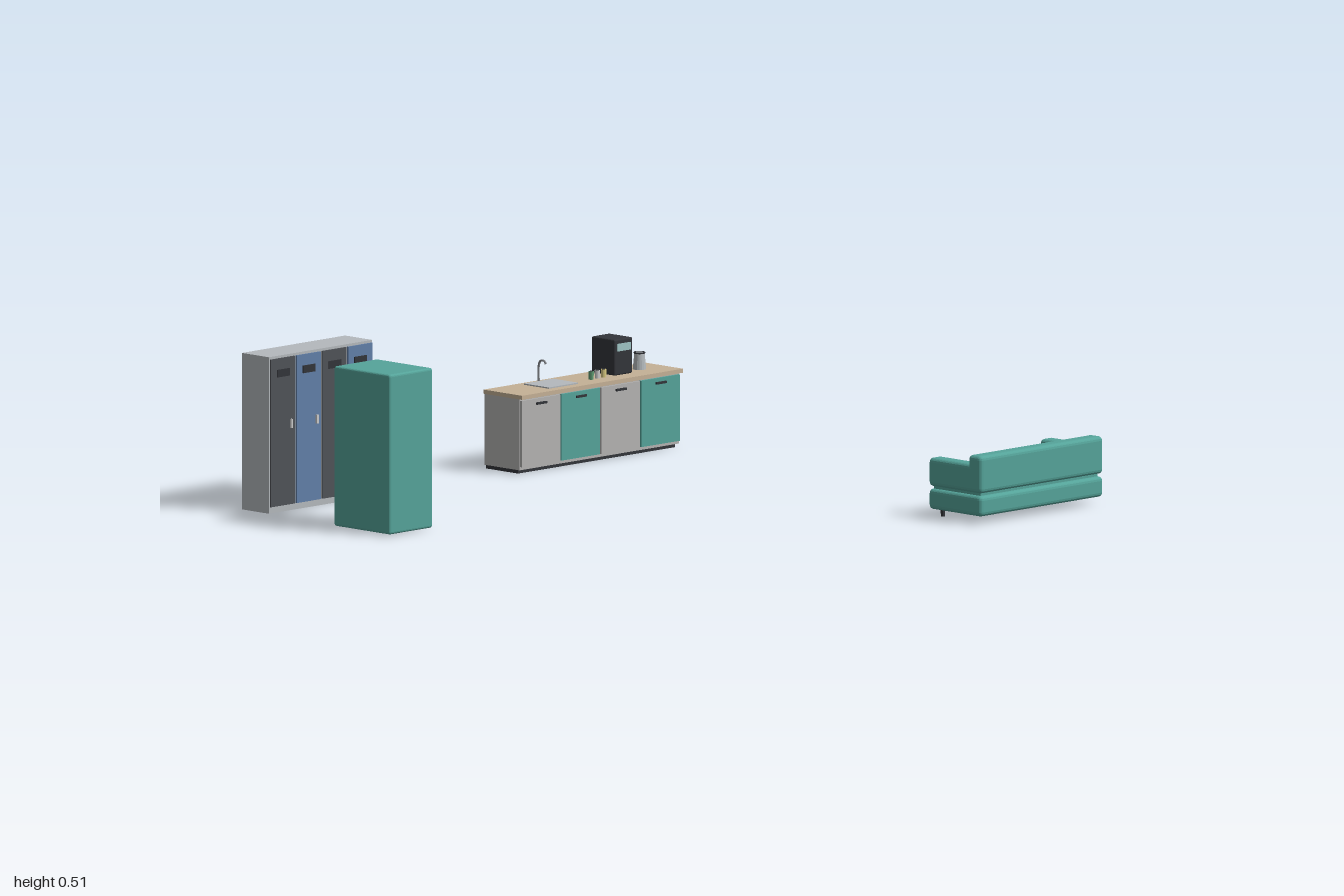
import * as THREE from 'three';
import { RoundedBoxGeometry } from 'three/addons/geometries/RoundedBoxGeometry.js';

const mats = {};
function mat(color) {
  if (!mats[color]) {
    mats[color] = new THREE.MeshStandardMaterial({ flatShading: true });
    mats[color].color.set(color);
  }
  return mats[color];
}
const TEAL = 0x55a49a, DARK = 0x33353a, GREY = 0xb4b3b2, METAL = 0xb4b9bd, BLUE = 0x627fa8;

function add(parent, name, geometry, color, x = 0, y = 0, z = 0) {
  const mesh = new THREE.Mesh(geometry, mat(color));
  mesh.name = name;
  mesh.position.set(x, y, z);
  parent.add(mesh);
  return mesh;
}

// Box given by its extents on each axis; a radius rounds the edges
function box(parent, name, color, [x0, x1], [y0, y1], [z0, z1], radius = 0) {
  const w = x1 - x0, h = y1 - y0, d = z1 - z0;
  const geometry = radius ? new RoundedBoxGeometry(w, h, d, 2, radius) : new THREE.BoxGeometry(w, h, d);
  return add(parent, name, geometry, color, (x0 + x1) / 2, (y0 + y1) / 2, (z0 + z1) / 2);
}

function group(parent, name) {
  const g = new THREE.Group();
  g.name = name;
  parent.add(g);
  return g;
}

function buildLockers(root) {
  const g = group(root, 'lockers');
  box(g, 'lockerBody', METAL, [-0.96, -0.5], [0, 0.495], [-0.925, -0.807]);
  for (let i = 0; i < 4; i++) {
    const x = -0.96 + i * 0.115;
    box(g, 'lockerDoor', i % 2 ? BLUE : 0x505358, [x + 0.004, x + 0.111], [0.02, 0.487], [-0.808, -0.802]);
    box(g, 'lockerVent', DARK, [x + 0.03, x + 0.085], [0.428, 0.452], [-0.803, -0.799]);
    box(g, 'lockerHandle', 0xcccccc, [x + 0.088, x + 0.095], [0.262, 0.29], [-0.803, -0.795]);
  }
}

function buildVendingMachine(root) {
  const g = group(root, 'vendingMachine');
  box(g, 'vendingBody', TEAL, [-1, -0.807], [0.004, 0.51], [-0.485, -0.24], 0.008);
  box(g, 'displayWindow', 0x55585f, [-0.81, -0.804], [0.129, 0.472], [-0.414, -0.257]);
  [0xa9c0de, 0x5f9c74, 0xe0cf85, 0xca7874].forEach((color, i) => {
    const y = 0.416 - i * 0.0793;
    box(g, 'productRow', color, [-0.806, -0.802], [y - 0.02, y + 0.02], [-0.406, -0.262]);
  });
  box(g, 'keypad', DARK, [-0.81, -0.802], [0.272, 0.438], [-0.47, -0.42]);
  for (const y of [0.396, 0.369, 0.342]) {
    box(g, 'keypadButton', 0xcccccc, [-0.804, -0.8], [y - 0.006, y + 0.006], [-0.459, -0.431]);
  }
  box(g, 'dispenserSlot', DARK, [-0.81, -0.803], [0.064, 0.098], [-0.405, -0.262]);
}

function buildKitchenCounter(root) {
  const g = group(root, 'kitchenCounter');
  box(g, 'kickPlate', DARK, [0.125, 0.825], [0, 0.016], [-0.922, -0.782]);
  box(g, 'cabinetBody', GREY, [0.12, 0.83], [0.012, 0.237], [-0.924, -0.771]);
  box(g, 'worktop', 0xc5b196, [0.117, 0.834], [0.237, 0.25], [-0.925, -0.757]);
  for (let i = 0; i < 4; i++) {
    const x = 0.12 + i * 0.1775;
    box(g, 'cabinetDoor', i % 2 ? TEAL : GREY, [x + 0.003, x + 0.1745], [0.022, 0.232], [-0.772, -0.764]);
    box(g, 'cabinetHandle', DARK, [x + 0.066, x + 0.111], [0.213, 0.22], [-0.765, -0.758]);
  }

  // Sink and tap
  box(g, 'sink', METAL, [0.27, 0.4], [0.249, 0.254], [-0.898, -0.79]);
  const tapPath = new THREE.CatmullRomCurve3([
    [0.337, 0.25, -0.9], [0.337, 0.3, -0.9], [0.337, 0.318, -0.893],
    [0.337, 0.32, -0.876], [0.337, 0.31, -0.868],
  ].map((p) => new THREE.Vector3(...p)));
  add(g, 'tap', new THREE.TubeGeometry(tapPath, 16, 0.0035, 8), 0x85888c);

  // Mugs
  [0x5f9c74, 0xca7874, 0xe0cf85].forEach((color, i) => {
    const mug = group(g, 'mug');
    mug.position.set(0.489 + i * 0.028, 0.25, -0.82);
    add(mug, 'mugBody', new THREE.CylinderGeometry(0.009, 0.008, 0.026, 12), i === 1 ? 0xcccccc : color, 0, 0.013, 0);
    add(mug, 'mugInside', new THREE.CylinderGeometry(0.006, 0.006, 0.001, 12), DARK, 0, 0.026, 0);
  });

  // Coffee machine
  box(g, 'coffeeMachine', DARK, [0.586, 0.666], [0.25, 0.364], [-0.914, -0.812], 0.005);
  box(g, 'coffeeMachineScreen', 0x9fc4c4, [0.596, 0.656], [0.326, 0.35], [-0.815, -0.81]);

  // Kettle
  const kettle = group(g, 'kettle');
  kettle.position.set(0.735, 0.25, -0.85);
  add(kettle, 'kettleBody', new THREE.CylinderGeometry(0.016, 0.021, 0.053, 16), METAL, 0, 0.0265, 0);
  add(kettle, 'kettleRim', new THREE.TorusGeometry(0.016, 0.003, 6, 16), DARK, 0, 0.052, 0).rotation.x = Math.PI / 2;
}

function buildSofa(root) {
  const g = group(root, 'sofa');
  box(g, 'sofaBase', TEAL, [0.45, 1], [0.022, 0.087], [0.69, 0.92], 0.014);
  box(g, 'sofaCore', TEAL, [0.464, 0.986], [0.07, 0.125], [0.704, 0.906]);
  box(g, 'backrest', TEAL, [0.45, 1], [0.095, 0.214], [0.863, 0.92], 0.014);
  for (const side of [-1, 1]) {
    const arm = 0.725 + side * 0.2475, seat = 0.725 + side * 0.11;
    box(g, 'armrest', TEAL, [arm - 0.0275, arm + 0.0275], [0.095, 0.185], [0.69, 0.915], 0.014);
    box(g, 'seatCushion', TEAL, [seat - 0.106, seat + 0.106], [0.09, 0.143], [0.697, 0.868], 0.012);
    const footX = 0.725 + side * 0.247;
    add(g, 'foot', new THREE.CylinderGeometry(0.008, 0.006, 0.028, 8), DARK, footX, 0.014, 0.728);
  }
  // Scatter cushions
  for (const [x, color] of [[0.555, 0xd9a09b], [0.872, 0xd6b074]]) {
    const pillow = add(g, 'scatterCushion', new THREE.SphereGeometry(0.039, 10, 8), color, x, 0.167, 0.832);
    pillow.scale.set(1, 0.82, 0.85);
  }
}

export function createModel() {
  const root = new THREE.Group();
  root.name = 'breakRoom';
  buildLockers(root);
  buildVendingMachine(root);
  buildKitchenCounter(root);
  buildSofa(root);
  return root;
}
